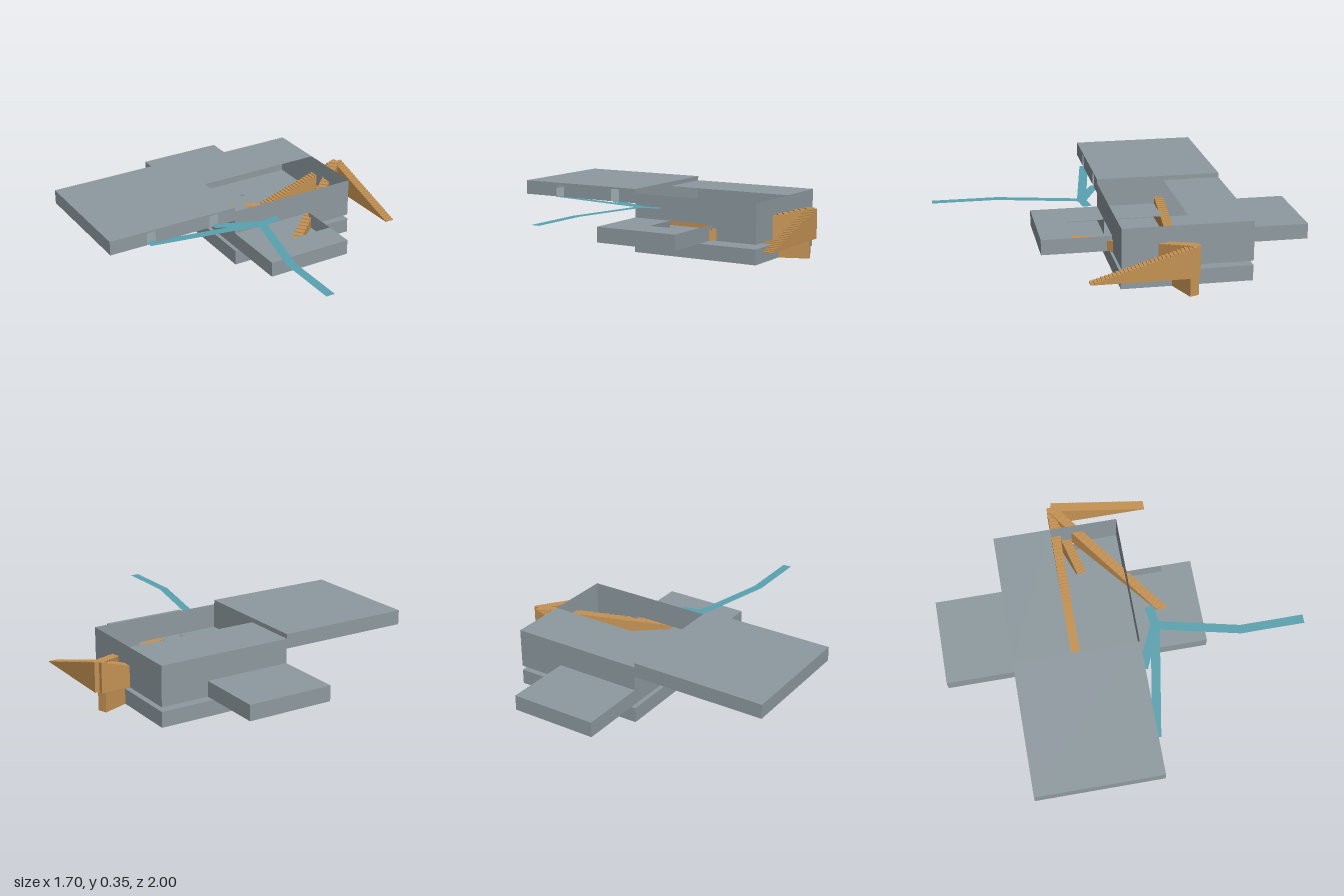
import * as THREE from 'three';

const mat = (name, color, side = THREE.FrontSide) =>
  Object.assign(new THREE.MeshStandardMaterial({ color, side }), { name });

export function createModel() {
  const concrete = mat('concrete grey', 0x8e9aa0, THREE.DoubleSide);
  const timber = mat('timber orange', 0xc49253);
  const pathTeal = mat('path teal', 0x5aa2b0, THREE.DoubleSide);
  const model = new THREE.Group();
  model.name = 'house';

  // Flat rectangle [a0, a1, b0, b1, ...holes], each hole given the same way
  const rectPath = (P, [a0, a1, b0, b1]) => new P([
    [a0, b0], [a1, b0], [a1, b1], [a0, b1],
  ].map(([a, b]) => new THREE.Vector2(a, b)));
  function panel(name, parent, rect, plane, at) {
    const shape = rectPath(THREE.Shape, rect);
    shape.holes = rect.slice(4).map((h) => rectPath(THREE.Path, h));
    const geo = new THREE.ShapeGeometry(shape);
    if (plane === 'y') geo.rotateX(Math.PI / 2).translate(0, at, 0);
    else if (plane === 'x') geo.rotateY(-Math.PI / 2).translate(at, 0, 0);
    else geo.translate(0, 0, at);
    const mesh = new THREE.Mesh(geo, concrete);
    mesh.name = name;
    parent.add(mesh);
  }

  // Hollow room of thin panels; any face can be replaced by a list of rectangles
  function room(name, x0, x1, y0, y1, z0, z1, faces = {}) {
    const group = new THREE.Group();
    group.name = name;
    const layout = {
      floor: [[x0, x1, z0, z1], 'y', y0], roof: [[x0, x1, z0, z1], 'y', y1],
      leftWall: [[z0, z1, y0, y1], 'x', x1], rightWall: [[z0, z1, y0, y1], 'x', x0],
      frontWall: [[x0, x1, y0, y1], 'z', z1], backWall: [[x0, x1, y0, y1], 'z', z0],
    };
    for (const [face, [full, plane, at]] of Object.entries(layout)) {
      for (const r of faces[face] ?? [full]) panel(face, group, r, plane, at);
    }
    model.add(group);
  }

  // Stairwells shared by the lower ceiling and the main floor
  const wells = [[0.46, 0.655, -0.245, -0.105], [0.255, 0.305, -0.5, -0.28]];

  room('lowerStorey', -0.095, 0.66, 0, 0.085, -0.62, 0.083, {
    roof: [[-0.095, 0.66, -0.62, 0.083, ...wells]],
  });
  room('mainStorey', -0.095, 0.66, 0.11, 0.33, -0.62, 0.08, {
    floor: [[-0.095, 0.66, -0.62, 0.08, ...wells]],
    roof: [[-0.095, 0.66, -0.62, -0.3]],
    frontWall: [[-0.095, 0.66, 0.195, 0.33], [-0.095, 0.13, 0.11, 0.195], [0.39, 0.66, 0.11, 0.195]],
  });
  panel('innerDeck', model, [-0.095, 0.13, -0.245, 0.08], 'y', 0.195);
  room('frontWing', -0.095, 0.39, 0.11, 0.195, 0.08, 0.46, {
    roof: [[-0.095, 0.13, 0.08, 0.29], [-0.095, 0.39, 0.29, 0.46]],
    backWall: [],
  });
  room('backWing', -0.095, 0.39, 0.11, 0.195, -1, -0.62);
  room('upperWing', -0.85, -0.095, 0.275, 0.355, -0.62, 0.08, {
    frontWall: [[-0.85, -0.095, 0.275, 0.355,
      [-0.635, -0.583, 0.276, 0.345], [-0.257, -0.203, 0.276, 0.345]]],
  });

  // Solid flight of steps rising from (x0, z0) to (x1, z1)
  function stair(name, x0, z0, x1, z1, y0, y1, steps = 28, width = 0.052) {
    const run = Math.hypot(x1 - x0, z1 - z0);
    const shape = new THREE.Shape();
    shape.moveTo(0, 0);
    for (let i = 0; i < steps; i++) {
      const y = ((i + 1) / steps) * (y1 - y0);
      shape.lineTo((i / steps) * run, y);
      shape.lineTo(((i + 1) / steps) * run, y);
    }
    shape.lineTo(run, 0);
    const geo = new THREE.ExtrudeGeometry(shape, { depth: width, bevelEnabled: false });
    geo.translate(0, 0, -width / 2);
    const mesh = new THREE.Mesh(geo, timber);
    mesh.name = name;
    mesh.position.set(x0, y0, z0);
    mesh.rotation.y = -Math.atan2(z1 - z0, x1 - x0);
    model.add(mesh);
  }
  stair('outerStair', 0.822, 0.27, 0.822, -0.27, 0.11, 0.275);
  stair('diagonalStair', 0.15, 0.268, 0.81, -0.268, 0.111, 0.275);
  stair('eastStair', 0.28, -0.27, 0.822, -0.27, 0.111, 0.274);
  stair('westStair', 0.28, -0.272, -0.23, -0.272, 0.111, 0.274);
  stair('entryStair', 0.46, -0.14, 0.81, -0.27, 0, 0.273);
  stair('cellarStair', 0.28, -0.48, 0.28, -0.27, 0, 0.111, 18, 0.04);

  // Footpath: flat ribbons mitred along each branch
  function ribbon(name, points, width = 0.05) {
    const pts = points.map(([x, z]) => new THREE.Vector2(x, z));
    const left = [], right = [];
    pts.forEach((p, i) => {
      const a = pts[Math.max(i - 1, 0)], b = pts[Math.min(i + 1, pts.length - 1)];
      const d = b.clone().sub(a).normalize();
      const n = new THREE.Vector2(-d.y, d.x).multiplyScalar(width / 2);
      left.push(p.clone().add(n));
      right.unshift(p.clone().sub(n));
    });
    const geo = new THREE.ShapeGeometry(new THREE.Shape([...left, ...right]));
    geo.rotateX(Math.PI / 2).translate(0, 0.2755, 0);
    const mesh = new THREE.Mesh(geo, pathTeal);
    mesh.name = name;
    model.add(mesh);
  }
  ribbon('frontPath', [[-0.095, 1], [-0.095, 0.645], [0.012, 0.18]]);
  ribbon('farPath', [[-0.62, 0.075], [0.02, 0.187]]);
  ribbon('nearPath', [[-0.225, 0.075], [0.012, 0.182]]);
  ribbon('stubPath', [[0, 0.187], [0.125, 0.17]]);

  return model;
}
